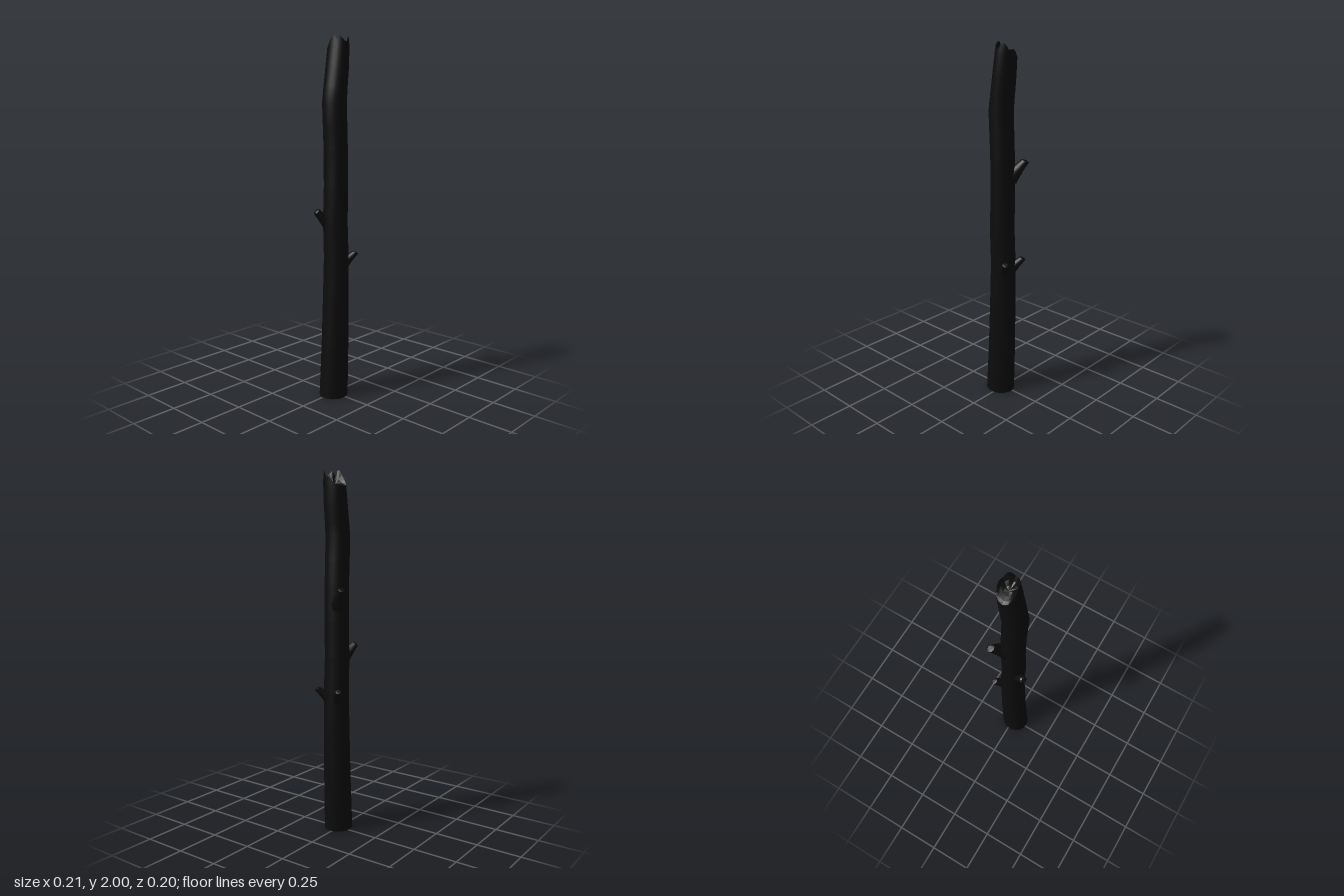
import * as THREE from 'three';
import { mergeVertices } from 'three/addons/utils/BufferGeometryUtils.js';

const SIDES = 24;
const bark = new THREE.MeshStandardMaterial({ color: 0x0c0c0c, roughness: 1 });
const wood = new THREE.MeshStandardMaterial({ color: 0x0c0c0c, roughness: 1, flatShading: true });

// Skin a list of closed rings of points
function loft(rings) {
  const n = rings[0].length, pos = [], index = [];
  rings.forEach(r => r.forEach(p => pos.push(p.x, p.y, p.z)));
  for (let i = 0; i < rings.length - 1; i++) {
    for (let j = 0; j < n; j++) {
      const a = i * n + j, b = i * n + (j + 1) % n;
      index.push(a, a + n, b, b, a + n, b + n);
    }
  }
  let g = new THREE.BufferGeometry();
  g.setAttribute('position', new THREE.Float32BufferAttribute(pos, 3));
  g.setIndex(index);
  g = mergeVertices(g, 1e-5);
  g.computeVertexNormals();
  return g;
}

function part(name, geometry, material) {
  const m = new THREE.Mesh(geometry, material);
  m.name = name;
  return m;
}

// Linear lookup in a table of [key, ...values]
function lookup(table, k) {
  let i = 0;
  while (i < table.length - 2 && table[i + 1][0] < k) i++;
  const a = table[i], b = table[i + 1];
  const t = THREE.MathUtils.clamp((k - a[0]) / (b[0] - a[0]), 0, 1);
  return a.slice(1).map((v, c) => v + (b[c + 1] - v) * t);
}

// Trunk: height, centre x, centre z, radius x, radius z
const TRUNK = [
  [0, -0.012, 0.01, 0.083, 0.078],
  [0.3, 0, 0.01, 0.077, 0.075],
  [0.6, 0.007, 0.01, 0.071, 0.073],
  [0.8, 0.01, 0.01, 0.067, 0.071],
  [1.0, 0.002, 0.01, 0.067, 0.069],
  [1.2, 0.007, 0.01, 0.065, 0.068],
  [1.4, 0.005, 0.01, 0.064, 0.068],
  [1.52, 0, 0.01, 0.064, 0.068],
  [1.65, -0.005, 0.01, 0.065, 0.068],
  [1.74, 0.005, 0.009, 0.062, 0.067],
  [1.85, 0.019, 0.009, 0.059, 0.066],
  [1.95, 0.028, 0.008, 0.053, 0.063],
  [2.0, 0.03, 0.008, 0.049, 0.055],
];

// Broken rim: angle in degrees, height
const RIM = [
  [0, 1.965], [30, 1.965], [50, 1.995], [65, 2.0], [80, 1.985], [95, 1.96],
  [120, 1.985], [135, 2.0], [150, 1.975], [165, 2.0], [180, 2.0], [210, 1.95],
  [240, 1.92], [270, 1.91], [300, 1.92], [330, 1.93], [345, 1.95], [360, 1.965],
];

function trunkRing(h, scale = 1, dip = 0) {
  return Array.from({ length: SIDES }, (_, j) => {
    const deg = j * 360 / SIDES, a = THREE.MathUtils.degToRad(deg);
    const rim = lookup(RIM, deg)[0];
    // the upper rows stretch to follow the jagged rim
    const y = h <= 1.65 ? h : 1.65 + (h - 1.65) * (rim - 1.65) / 0.35;
    const [cx, cz, rx, rz] = lookup(TRUNK, y);
    return new THREE.Vector3(cx + Math.cos(a) * rx * scale,
      THREE.MathUtils.lerp(y, 1.925, dip), cz + Math.sin(a) * rz * scale);
  });
}

// Broken branch: tapers from inside the trunk to a slanted end
function branchStub(name, from, to, r0, r1, slant, dome) {
  const A = new THREE.Vector3(...from), B = new THREE.Vector3(...to);
  const d = B.clone().sub(A).normalize();
  const u = d.clone().cross(new THREE.Vector3(0, 1, 0)).normalize();
  const v = u.clone().cross(d);
  const ring = (t, r, tilt, push = 0) => Array.from({ length: 10 }, (_, j) => {
    const a = j / 10 * Math.PI * 2, c = Math.cos(a) * r, s = Math.sin(a) * r;
    return A.clone().lerp(B, t).addScaledVector(u, c).addScaledVector(v, s)
      .addScaledVector(d, push + tilt * s);
  });
  const mid = r0 + (r1 - r0) * 0.7;
  const end = ring(1, r1, slant);
  const g = new THREE.Group();
  g.name = name;
  g.add(part('stubBark', loft([ring(0, r0, 0), ring(0.6, mid, 0), end]), bark));
  g.add(part('stubEnd', loft([end, ring(1, r1 * 0.6, slant, dome), ring(1, 0, 0, dome)]), wood));
  return g;
}

export function createModel() {
  const model = new THREE.Group();
  model.name = 'brokenTrunk';

  const rows = TRUNK.map(r => r[0]);
  model.add(part('trunk', loft(rows.map(h => trunkRing(h))), bark));
  model.add(part('base', loft([trunkRing(0, 0), trunkRing(0)]), wood));

  // Splintered hollow inside the broken rim
  model.add(part('brokenTop', loft([
    trunkRing(2), trunkRing(2, 0.75, 0.6), trunkRing(2, 0.4, 0.9), trunkRing(2, 0, 1),
  ]), wood));

  model.add(branchStub('upperBackStub', [0.03, 1.285, -0.02], [0.087, 1.378, -0.08], 0.046, 0.021, -0.3, 0.003));
  model.add(branchStub('rightStub', [-0.03, 0.99, -0.015], [-0.088, 1.062, -0.045], 0.034, 0.02, 0, 0.008));
  model.add(branchStub('lowerFrontStub', [0.03, 0.75, 0.025], [0.09, 0.825, 0.081], 0.04, 0.016, -0.4, 0.002));
  model.add(branchStub('lowerBackStub', [0.03, 0.755, -0.015], [0.09, 0.825, -0.063], 0.04, 0.017, -0.3, 0.002));
  return model;
}
